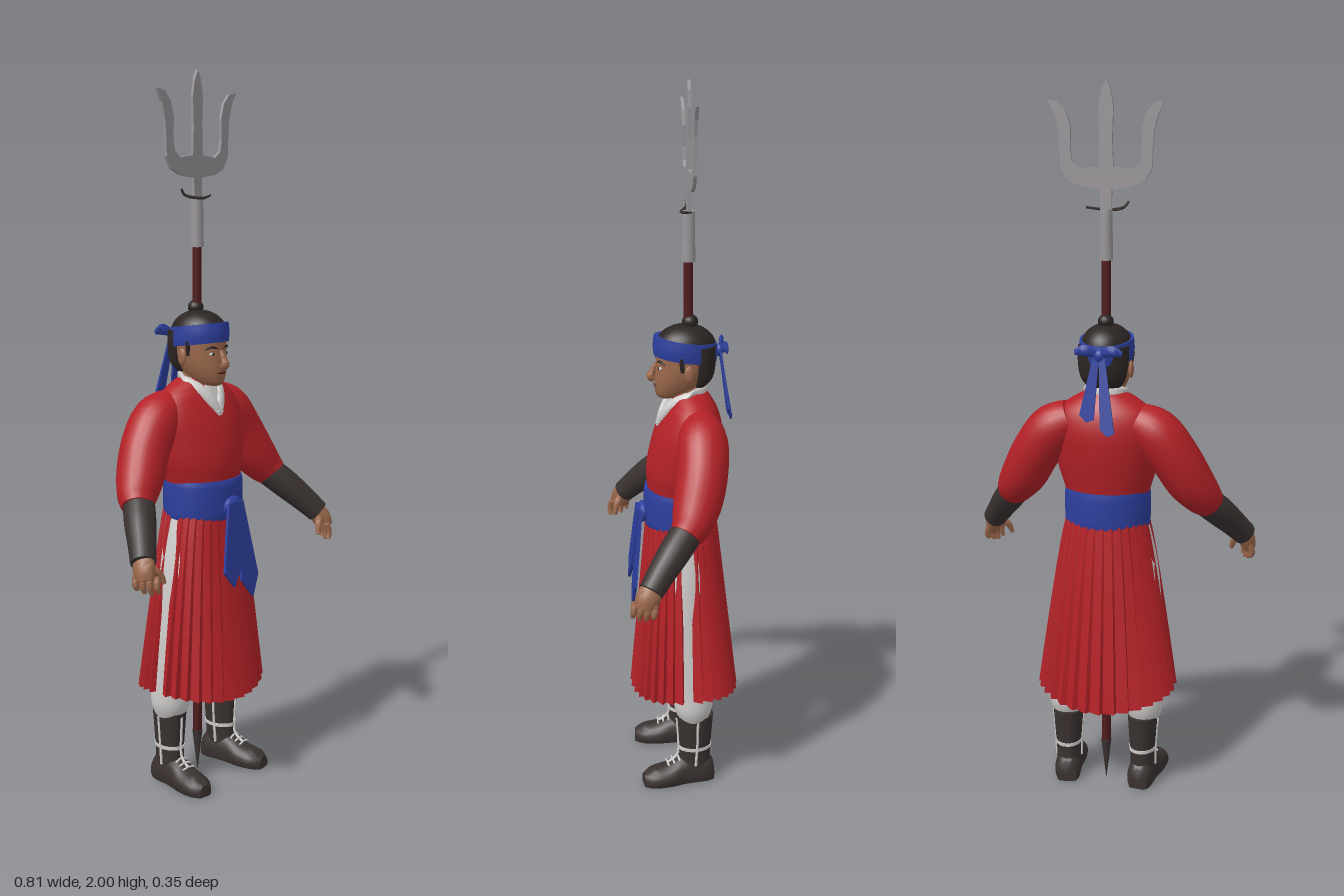
import * as THREE from 'three';
import { toCreasedNormals } from 'three/addons/utils/BufferGeometryUtils.js';

const mat = (name, color, side = THREE.FrontSide) => {
  const m = new THREE.MeshStandardMaterial({ color, side });
  m.name = name;
  return m;
};

// Grid surface from fn(u, v) -> [x, y, z]
function surface(fn, nu, nv, crease = 0.9) {
  const pos = [], idx = [];
  for (let j = 0; j <= nv; j++) for (let i = 0; i <= nu; i++) pos.push(...fn(i / nu, j / nv, j));
  for (let j = 0; j < nv; j++) for (let i = 0; i < nu; i++) {
    const a = j * (nu + 1) + i, d = a + nu + 1;
    idx.push(a, a + 1, d + 1, a, d + 1, d);
  }
  const g = new THREE.BufferGeometry();
  g.setAttribute('position', new THREE.Float32BufferAttribute(pos, 3));
  g.setIndex(idx);
  return toCreasedNormals(g, crease);
}

// Smooth interpolation through rows of numbers
function sample(rows, t) {
  const f = t * (rows.length - 1), i = Math.min(Math.floor(f), rows.length - 2), k = f - i;
  const at = n => rows[Math.max(0, Math.min(rows.length - 1, n))];
  return rows[i].map((p1, c) => {
    const p0 = at(i - 1)[c], p2 = at(i + 1)[c], p3 = at(i + 2)[c];
    return p1 + 0.5 * k * (p2 - p0 + k * (2 * p0 - 5 * p1 + 4 * p2 - p3 + k * (3 * (p1 - p2) + p3 - p0)));
  });
}

// Capped upright body from rows [y, half width, front z, back z]; tilt lifts the front
function loft(rows, { nu = 32, nv = rows.length * 4, tilt = 0 } = {}) {
  return surface((u, v, j) => {
    const t = Math.max(0, Math.min(1, (j - 1) / (nv - 2)));
    const [y, rx, zf, zb] = sample(rows, t), a = u * Math.PI * 2;
    const r = j === 0 || j === nv ? 0 : 1;
    const z = (zf + zb) / 2 + r * Math.cos(a) * (zf - zb) / 2;
    return [r * rx * Math.sin(a), y + tilt * z, z];
  }, nu, nv);
}

// Capped swept limb through rows [x, y, z, radius]; flat scales its depth, s mirrors x
function limb(rows, { s = 1, flat = 1, nu = 16, nv = rows.length * 4 } = {}) {
  const ref = new THREE.Vector3(0, 0, 1);
  return surface((u, v, j) => {
    const t = Math.max(0, Math.min(1, (j - 1) / (nv - 2)));
    const p = sample(rows, t), q = sample(rows, Math.max(0, t - 0.02)), w = sample(rows, Math.min(1, t + 0.02));
    const dir = new THREE.Vector3(s * (w[0] - q[0]), w[1] - q[1], w[2] - q[2]).normalize();
    const n = ref.clone().cross(dir).normalize(), b = dir.clone().cross(n);
    const r = j === 0 || j === nv ? 0 : p[3], a = u * Math.PI * 2;
    return new THREE.Vector3(s * p[0], p[1], p[2])
      .addScaledVector(n, r * Math.cos(a)).addScaledVector(b, r * flat * Math.sin(a)).toArray();
  }, nu, nv);
}

// Flat plate from an outline
function plate(points, depth) {
  const g = new THREE.ExtrudeGeometry(new THREE.Shape(points.map(p => new THREE.Vector2(...p))),
    { depth, bevelEnabled: false });
  return g.translate(0, 0, -depth / 2);
}

export function createModel() {
  const root = new THREE.Group();
  const red = mat('red cloth', 0xb32127), redOpen = mat('red skirt cloth', 0xb32127, THREE.DoubleSide);
  const blue = mat('blue cloth', 0x2d3f9e), white = mat('white cloth', 0xcfcdcb);
  const skin = mat('skin', 0x9a674b), dark = mat('dark leather', 0x3a3231);
  const hair = mat('black hair', 0x2b2523), steel = mat('steel', 0x99959a), wood = mat('dark red wood', 0x4f1c1c);
  const add = (name, geo, m, x = 0, y = 0, z = 0) => {
    const mesh = new THREE.Mesh(geo, m);
    mesh.name = name;
    mesh.position.set(x, y, z);
    root.add(mesh);
    return mesh;
  };
  const ball = (name, m, x, y, z, rx, ry, rz) =>
    add(name, new THREE.SphereGeometry(1, 18, 12).scale(rx, ry, rz), m, x, y, z);

  // Trident
  const pz = -0.03;
  add('shaft', new THREE.CylinderGeometry(0.013, 0.013, 1.43, 14), wood, 0, 0.825, pz);
  add('shaftSpike', new THREE.CylinderGeometry(0.015, 0.001, 0.12, 14), dark, 0, 0.06, pz);
  add('socket', new THREE.CylinderGeometry(0.017, 0.019, 0.135, 16), steel, 0, 1.595, pz);
  const half = [[0.015, 1.65], [0.016, 1.715], [0.07, 1.722], [0.105, 1.738], [0.124, 1.77], [0.126, 1.82],
    [0.13, 1.87], [0.14, 1.91], [0.158, 1.945], [0.13, 1.94], [0.108, 1.915], [0.096, 1.875], [0.098, 1.82],
    [0.092, 1.785], [0.07, 1.768], [0.02, 1.775], [0.017, 1.85], [0.02, 1.93], [0.012, 1.975]];
  const outline = [...half, [0, 2], ...half.map(([x, y]) => [-x, y]).reverse()];
  add('tridentHead', plate(outline, 0.009), steel, 0, 0, pz);
  add('socketHook', limb([[-0.062, 1.685, pz, 0.003], [-0.045, 1.667, pz, 0.004], [0, 1.66, pz + 0.02, 0.004],
    [0.055, 1.667, pz, 0.003]], { nu: 6 }), dark);

  // Head and face
  add('head', loft([[1.15, 0.018, 0.05, 0], [1.16, 0.036, 0.06, -0.04], [1.19, 0.054, 0.064, -0.07],
    [1.22, 0.063, 0.062, -0.088], [1.25, 0.067, 0.059, -0.097], [1.3, 0.068, 0.058, -0.1]]), skin);
  add('neck', loft([[1.08, 0.05, 0.02, -0.08], [1.14, 0.044, 0.018, -0.072], [1.2, 0.044, 0.02, -0.075]]), skin);
  add('nose', limb([[0, 1.248, 0.058, 0.006], [0, 1.225, 0.069, 0.009], [0, 1.211, 0.074, 0.012],
    [0, 1.204, 0.064, 0.01]], { nu: 10 }), skin);
  ball('mouth', wood, 0, 1.187, 0.06, 0.018, 0.0035, 0.006);
  for (const s of [1, -1]) {
    ball('eyeWhite', white, s * 0.028, 1.24, 0.0505, 0.0115, 0.0045, 0.005);
    ball('iris', hair, s * 0.028, 1.24, 0.053, 0.0045, 0.0045, 0.0042);
    add('eyebrow', limb([[0.012, 1.254, 0.056, 0.002], [0.03, 1.259, 0.052, 0.0035], [0.046, 1.253, 0.041, 0.002]],
      { s, nu: 8 }), hair);
    ball('ear', skin, s * 0.069, 1.23, -0.024, 0.007, 0.024, 0.014);
    add('sideburn', limb([[0.066, 1.275, -0.004, 0.009], [0.064, 1.235, -0.006, 0.005]], { s, flat: 1, nu: 8 }), hair);
  }

  // Hair, topknot and headband
  add('hairCap', new THREE.SphereGeometry(1, 32, 14, 0, Math.PI * 2, 0, Math.PI / 2).scale(0.071, 0.064, 0.085),
    hair, 0, 1.292, -0.022);
  add('backHair', loft([[1.185, 0.045, -0.035, -0.078], [1.21, 0.062, -0.035, -0.098], [1.25, 0.07, -0.03, -0.105],
    [1.3, 0.071, -0.02, -0.106]]), hair);
  ball('topknot', hair, 0, 1.362, -0.035, 0.022, 0.02, 0.022);
  add('headband', loft([[1.264, 0.0735, 0.066, -0.108], [1.29, 0.076, 0.068, -0.111], [1.318, 0.0735, 0.065, -0.108]],
    { tilt: 0.13 }), blue);
  ball('headbandKnot', blue, 0, 1.28, -0.116, 0.016, 0.018, 0.012);
  for (const s of [1, -1]) {
    add('headbandLoop', limb([[0, 1.28, -0.116, 0.007], [0.035, 1.296, -0.128, 0.016], [0.065, 1.29, -0.128, 0.007]],
      { s, flat: 0.4, nu: 10 }), blue);
    const len = s > 0 ? 0.18 : 0.215;
    const tail = add('headbandTail', plate([[-0.008, 0], [0.008, 0], [s * 0.022 + 0.02, -len + 0.02],
      [s * 0.022, -len], [s * 0.022 - 0.02, -len + 0.008]], 0.006), blue, s * 0.008, 1.28, -0.118);
    tail.rotation.x = s > 0 ? 0.12 : 0.18;
  }

  // Jacket, collar and sash
  add('jacket', loft([[0.84, 0.114, 0.08, -0.1], [0.89, 0.122, 0.086, -0.106], [0.94, 0.137, 0.088, -0.114],
    [1.0, 0.147, 0.078, -0.122], [1.06, 0.155, 0.06, -0.124], [1.11, 0.142, 0.038, -0.114],
    [1.145, 0.1, 0.022, -0.096], [1.17, 0.055, 0.012, -0.078]]), red);
  for (const s of [1, -1]) add('collar', limb([[0, 1.172, -0.076, 0.014], [0.034, 1.172, -0.064, 0.014],
    [0.053, 1.168, -0.028, 0.014], [0.042, 1.145, 0.014, 0.015], [0.02, 1.11, 0.04, 0.016],
    [-0.004, 1.072, 0.055, 0.012]], { s, flat: 0.55, nu: 12 }), white);
  add('neckInset', limb([[0, 1.16, 0.014, 0.026], [0, 1.12, 0.033, 0.018], [0, 1.08, 0.05, 0.006]],
    { flat: 0.3 }), white);
  add('sash', loft([[0.778, 0.119, 0.092, -0.108], [0.8, 0.122, 0.096, -0.112], [0.87, 0.122, 0.096, -0.112],
    [0.89, 0.12, 0.092, -0.11]]), blue);
  ball('sashKnot', blue, 0.004, 0.815, 0.1, 0.036, 0.03, 0.016);
  const tails = [[[-0.03, 0], [0.03, 0], [0.024, -0.1], [0.004, -0.18], [-0.032, -0.235], [-0.068, -0.19], [-0.048, -0.08]],
    [[-0.01, 0], [0.036, 0], [0.055, -0.1], [0.078, -0.22], [0.05, -0.28], [0.006, -0.225], [0.008, -0.1]]];
  tails.forEach((t, i) => {
    add('sashTail', plate(t, 0.008), blue, 0, 0.83, 0.113 - i * 0.006).rotation.x = -0.1;
  });

  // Pleated skirt: front and back panels, open at the sides
  const pleats = 15;
  for (const s of [1, -1]) add(s > 0 ? 'skirtFront' : 'skirtBack', surface((u, v) => {
    const a = (u - 0.5) * Math.PI * 0.99, saw = (u * pleats) % 1;
    const k = 1 + (0.03 + 0.08 * v) * (saw - 0.6);
    const rx = 0.117 + 0.08 * Math.pow(v, 0.85), rz = (s > 0 ? 0.088 : 0.09) + (s > 0 ? 0.046 : 0.062) * v;
    const hem = 0.262 + 0.032 * Math.sin(a) ** 2;
    return [s * Math.sin(a) * rx * k, 0.8 - v * (0.8 - hem), (s > 0 ? 0.002 : -0.02) + s * Math.cos(a) * rz * k];
  }, pleats * 5, 12, 0.5), redOpen);

  for (const s of [1, -1]) {
    // Arms and hands
    add('sleeve', limb([[0.09, 1.09, -0.05, 0.055], [0.145, 1.06, -0.05, 0.069], [0.195, 0.995, -0.043, 0.069],
      [0.235, 0.925, -0.025, 0.066], [0.268, 0.878, -0.005, 0.056], [0.288, 0.852, 0.015, 0.044]], { s, nu: 22 }), red);
    add('bracer', limb([[0.265, 0.872, -0.005, 0.043], [0.31, 0.82, 0.045, 0.043], [0.345, 0.775, 0.085, 0.038],
      [0.375, 0.735, 0.118, 0.034]], { s, nu: 18 }), dark);
    add('palm', limb([[0.365, 0.75, 0.108, 0.022], [0.38, 0.72, 0.125, 0.024], [0.386, 0.692, 0.135, 0.02]],
      { s, flat: 1.35 }), skin);
    for (let i = 0; i < 4; i++) {
      const x = 0.398 - i * 0.009, z = 0.108 + i * 0.017, drop = [0.012, 0.004, 0, 0.006][i];
      add('finger', limb([[x - 0.006, 0.705, z, 0.009], [x, 0.68, z + 0.004, 0.009],
        [x - 0.006, 0.655 + drop, z + 0.006, 0.006]], { s, nu: 8 }), skin);
    }
    add('thumb', limb([[0.37, 0.725, 0.13, 0.012], [0.343, 0.705, 0.145, 0.01], [0.333, 0.678, 0.153, 0.006]],
      { s, nu: 8 }), skin);

    // Trousers
    add('trouserLeg', limb([[0.055, 0.82, -0.01, 0.055], [0.075, 0.65, -0.01, 0.072], [0.095, 0.45, -0.015, 0.068],
      [0.11, 0.3, -0.03, 0.058], [0.113, 0.24, -0.032, 0.055], [0.113, 0.2, -0.032, 0.04]], { s, nu: 22 }), white);

    // Boots
    const boot = new THREE.Group();
    boot.name = 'boot';
    boot.position.set(s * 0.112, 0, -0.035);
    boot.rotation.y = s * 0.12;
    root.add(boot);
    const put = (name, geo, m) => {
      const mesh = new THREE.Mesh(geo, m);
      mesh.name = name;
      boot.add(mesh);
    };
    put('bootShaft', loft([[0.03, 0.036, 0.05, -0.052], [0.08, 0.035, 0.046, -0.048], [0.13, 0.038, 0.046, -0.05],
      [0.215, 0.044, 0.052, -0.056]]), dark);
    const foot = [[-0.055, 0.028, 0.06], [-0.03, 0.038, 0.085], [0.03, 0.038, 0.085], [0.08, 0.044, 0.06],
      [0.125, 0.04, 0.05], [0.152, 0.022, 0.034]];
    put('bootFoot', surface((u, v, j) => {
      const [z, w, h] = sample(foot, Math.max(0, Math.min(1, (j - 1) / 18)));
      const a = u * Math.PI * 2, r = j === 0 || j === 20 ? 0 : 1;
      return [r * w * Math.cos(a), r ? Math.max(0, h * (0.35 + 0.65 * Math.sin(a))) : h * 0.35, z];
    }, 24, 20), dark);
    put('ankleStrap', loft([[0.108, 0.039, 0.0485, -0.051], [0.118, 0.0395, 0.0485, -0.0515]], { nv: 4 }), white);
    put('frontLace', limb([[0, 0.205, 0.052, 0.004], [0, 0.12, 0.047, 0.004], [0, 0.085, 0.052, 0.004],
      [0, 0.064, 0.078, 0.004]], { nu: 6 }), white);
    for (const e of [1, -1]) put('sideLace', limb([[e * 0.0435, 0.205, 0, 0.004], [e * 0.038, 0.13, 0, 0.004],
      [e * 0.0365, 0.06, 0.004, 0.004]], { nu: 6 }), white);
    for (let i = 0; i < 3; i++) put('crossLace', limb([[-0.02, 0.074 - i * 0.006, 0.048 + i * 0.016, 0.003],
      [0, 0.083 - i * 0.008, 0.05 + i * 0.016, 0.003], [0.02, 0.074 - i * 0.006, 0.048 + i * 0.016, 0.003]],
      { nu: 6 }), white);
  }
  return root;
}
